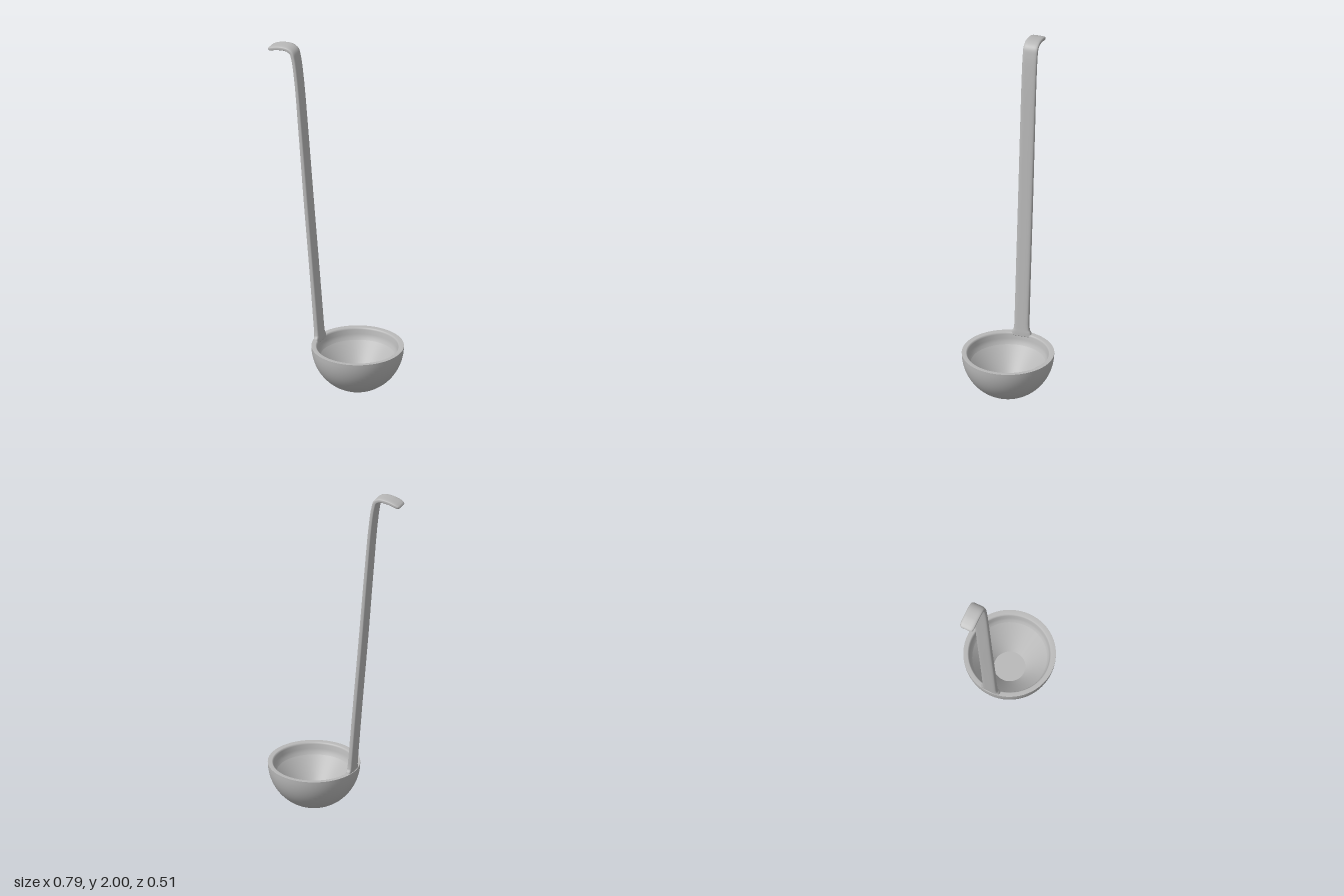
import * as THREE from 'three';

const metal = new THREE.MeshStandardMaterial({ color: 0xb8b8b8 });
metal.name = 'brushed grey';

const V = (x, y) => new THREE.Vector2(x, y);

function part(name, geometry) {
  const mesh = new THREE.Mesh(geometry, metal);
  mesh.name = name;
  return mesh;
}

// Sweeps a rounded-rectangle section along stations of [x, y, half width, half thickness]
function sweepStrip(stations, steps, sides) {
  const path = new THREE.CatmullRomCurve3(stations.map(s => new THREE.Vector3(s[0], s[1], 0)));
  const size = new THREE.CatmullRomCurve3(stations.map(s => new THREE.Vector3(s[2], s[3], 0)), false, 'catmullrom', 0.3);
  const round = v => Math.sign(v) * Math.pow(Math.abs(v), 0.5);
  const pos = [], index = [];
  for (let i = 0; i <= steps; i++) {
    const u = i / steps;
    const c = path.getPoint(u), t = path.getTangent(u), s = size.getPoint(u);
    for (let j = 0; j < sides; j++) {
      const a = (j / sides) * Math.PI * 2;
      const k = s.y * round(Math.sin(a));
      pos.push(c.x + t.y * k, c.y - t.x * k, s.x * round(Math.cos(a)));
    }
  }
  for (let i = 0; i < steps; i++) {
    for (let j = 0; j < sides; j++) {
      const n = (j + 1) % sides;
      const a = i * sides + j, b = i * sides + n;
      index.push(a, b, b + sides, a, b + sides, a + sides);
    }
  }
  // End caps
  const last = steps * sides;
  for (let j = 1; j < sides - 1; j++) {
    index.push(0, j + 1, j, last, last + j, last + j + 1);
  }
  const g = new THREE.BufferGeometry();
  g.setAttribute('position', new THREE.Float32BufferAttribute(pos, 3));
  g.setIndex(index);
  g.computeVertexNormals();
  return g;
}

export function createModel() {
  const ladle = new THREE.Group();
  ladle.name = 'ladle';

  // Bowl: separate lathes keep the rim and floor edges crisp
  const bowl = new THREE.Group();
  bowl.name = 'bowl';
  bowl.position.x = 0.14;
  const shell = [];
  for (let i = 0; i <= 24; i++) {
    const a = (i / 24) * Math.PI / 2;
    shell.push(V(0.255 * Math.sin(a), 0.26 - 0.26 * Math.cos(a)));
  }
  const profiles = {
    bowlShell: shell,
    bowlRim: [V(0.255, 0.26), V(0.232, 0.26), V(0.227, 0.257), V(0.223, 0.25), V(0.22, 0.225), V(0.214, 0.208), V(0.206, 0.195)],
    bowlInside: [V(0.206, 0.195), V(0.087, 0.05)],
    bowlFloor: [V(0.087, 0.05), V(0, 0.05)],
  };
  for (const [name, points] of Object.entries(profiles)) {
    bowl.add(part(name, new THREE.LatheGeometry(points, 64)));
  }
  ladle.add(bowl);

  // Handle: flared foot on the rim, long leaning strip, hook bent outward at the top
  const stations = [
    [-0.093, 0.245, 0.062, 0.016],
    [-0.094, 0.265, 0.055, 0.016],
    [-0.096, 0.285, 0.045, 0.016],
    [-0.099, 0.32, 0.042, 0.016],
    [-0.13, 0.7, 0.042, 0.015],
    [-0.164, 1.1, 0.042, 0.015],
    [-0.196, 1.5, 0.042, 0.014],
    [-0.222, 1.8, 0.042, 0.013],
    [-0.24, 1.93, 0.042, 0.013],
    [-0.253, 1.97, 0.042, 0.013],
    [-0.28, 1.986, 0.042, 0.013],
    [-0.33, 1.985, 0.042, 0.013],
    [-0.37, 1.975, 0.042, 0.012],
    [-0.389, 1.967, 0.039, 0.011],
    [-0.396, 1.964, 0.033, 0.008],
    [-0.398, 1.963, 0.026, 0.004],
  ];
  ladle.add(part('handle', sweepStrip(stations, 150, 32)));

  return ladle;
}
